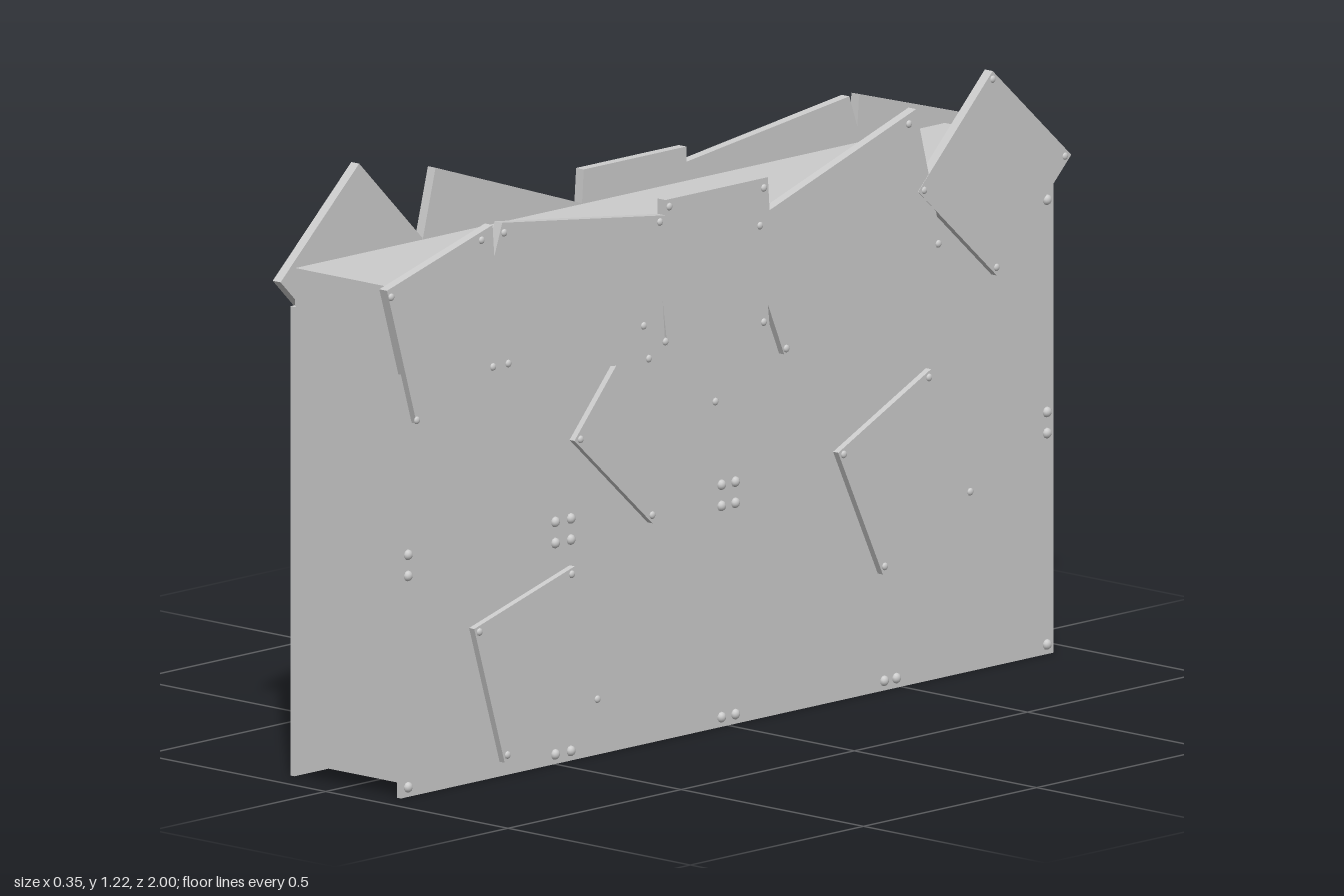
import * as THREE from 'three';

const mat = new THREE.MeshStandardMaterial({ color: 0xcccccc });

// Flat plate from a [z, y] outline, spanning x0..x1
function plate(name, pts, x0, x1) {
  const shape = new THREE.Shape(pts.map(([z, y]) => new THREE.Vector2(-z, y)));
  const geo = new THREE.ExtrudeGeometry(shape, { depth: x1 - x0, bevelEnabled: false });
  geo.rotateY(Math.PI / 2).translate(x0, 0, 0);
  const mesh = new THREE.Mesh(geo, mat);
  mesh.name = name;
  return mesh;
}

// Domed rivet heads on a face at x
function rivets(name, pts, x, r, h) {
  const group = new THREE.Group();
  group.name = name;
  const geo = new THREE.SphereGeometry(1, 10, 4, 0, Math.PI * 2, 0, Math.PI / 2);
  geo.rotateZ(-Math.PI / 2).scale(h, r, r);
  for (const [z, y] of pts) {
    const rivet = new THREE.Mesh(geo, mat);
    rivet.position.set(x, y, z);
    group.add(rivet);
  }
  return group;
}

function createSide() {
  const side = new THREE.Group();
  const outer = 0.168;

  // Base sheet covering the side of the wall
  side.add(plate('sideSheet', [[0.945, 0], [0.945, 0.955], [-0.94, 0.955], [-0.94, 0]], 0.143, 0.154));

  // Ragged band of boards along the top edge
  side.add(plate('topBoards', [
    [1, 1.044], [0.914, 0.76], [0.668, 0.825], [0.335, 0.787], [0.196, 0.803],
    [0.204, 0.9], [0.19, 0.803], [-0.105, 0.798], [-0.1, 0.843], [-0.147, 0.734],
    [-0.606, 0.878], [-0.528, 1.173], [-0.105, 1.034], [-0.1, 1.102], [0.196, 1.102],
    [0.196, 1.071], [0.667, 1.13], [0.69, 1.065], [0.695, 1.13],
  ], 0.147, outer));

  // Square patches
  const patches = {
    endPatch: [[-0.748, 1.216], [-0.975, 1.01], [-0.76, 0.798], [-0.533, 1.004]],
    middlePatch: [[0.458, 0.653], [0.233, 0.45], [0.035, 0.67], [0.26, 0.873]],
    lowerFrontPatch: [[0.748, 0.316], [0.458, 0.398], [0.378, 0.109], [0.66, 0.03]],
    rearPatch: [[-0.303, 0.509], [-0.571, 0.637], [-0.7, 0.364], [-0.432, 0.241]],
  };
  for (const [name, pts] of Object.entries(patches)) {
    const lift = name === 'endPatch' ? 0.001 : name === 'middlePatch' ? -0.0005 : 0;
    side.add(plate(name, pts, 0.1475, outer + lift));
    // A rivet just inside each corner
    const cz = pts.reduce((s, p) => s + p[0], 0) / 4;
    const cy = pts.reduce((s, p) => s + p[1], 0) / 4;
    const inset = pts.map(([z, y]) => [cz + (z - cz) * 0.92, cy + (y - cy) * 0.92]);
    side.add(rivets(name + 'Rivets', inset, outer, 0.008, 0.005));
  }

  side.add(rivets('boardRivets', [
    [0.988, 1.029], [0.914, 0.767], [0.727, 1.104], [0.662, 1.109], [0.694, 0.841],
    [0.65, 0.841], [0.244, 0.787], [0.212, 1.06], [0.185, 1.087], [0.196, 0.814],
    [-0.088, 1.082], [-0.077, 1.007], [-0.088, 0.809], [-0.153, 0.745],
    [-0.507, 1.146], [-0.592, 0.889],
  ], outer, 0.008, 0.005));

  // Rivets of the base sheet
  const sheet = [[-0.92, 0.925]];
  for (const z of [0.925, 0.5, 0.455, 0.02, -0.02, -0.45, -0.485, -0.92]) {
    sheet.push([z, 0.02]);
    if (z > -0.4 || z < -0.9) sheet.push([z, 0.45], [z, 0.493]);
  }
  side.add(rivets('sheetRivets', sheet, 0.154, 0.011, 0.009));
  return side;
}

export function createModel() {
  const model = new THREE.Group();
  model.name = 'patchedWall';

  // Solid core between the two sheets
  const core = new THREE.Mesh(new THREE.BoxGeometry(0.296, 1.005, 1.875), mat);
  core.name = 'core';
  core.position.set(0, 0.53, -0.005);
  model.add(core);

  // The same side twice, turned half way round
  ['leftSide', 'rightSide'].forEach((name, i) => {
    const side = createSide();
    side.name = name;
    side.rotation.y = i * Math.PI;
    model.add(side);
  });
  return model;
}
